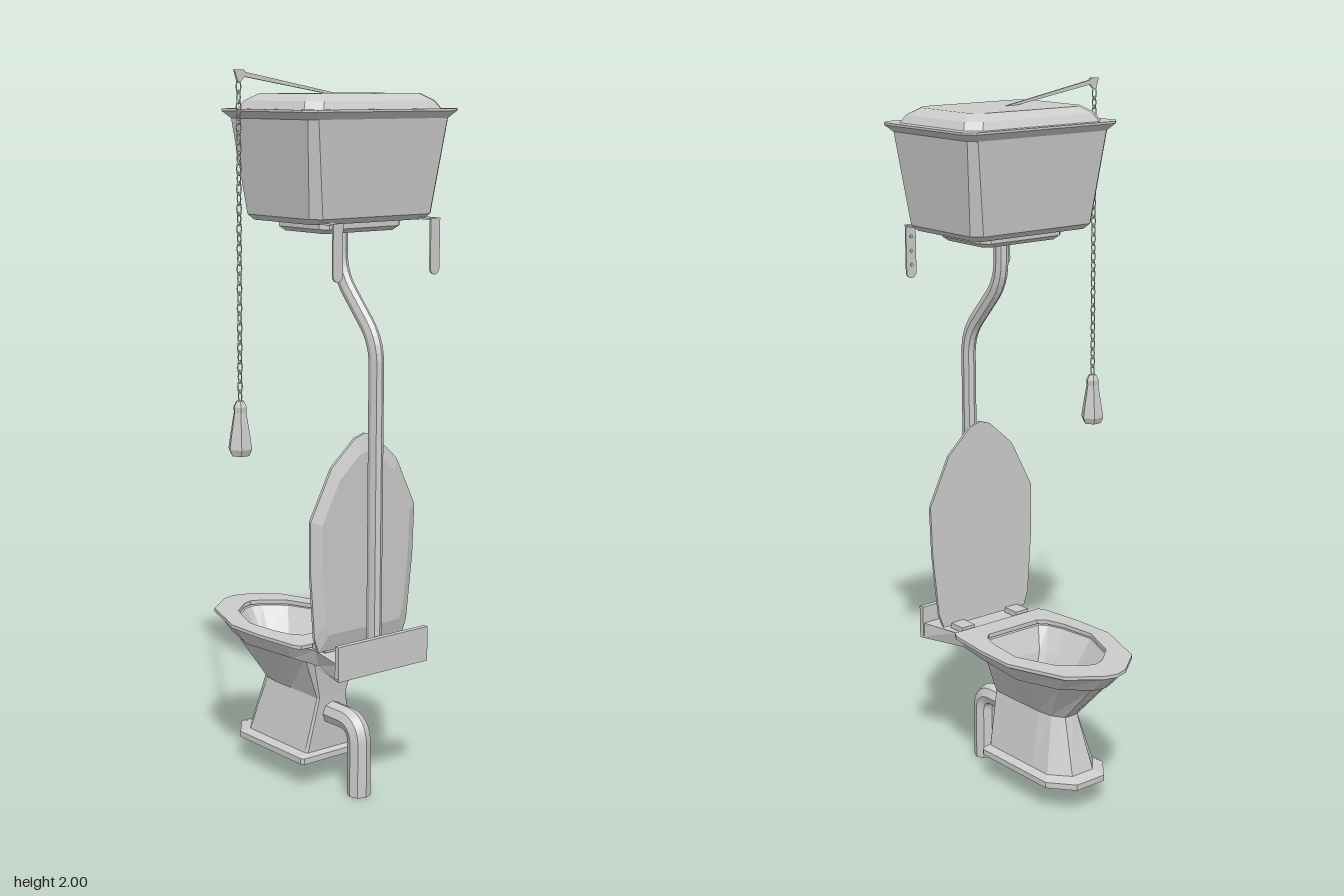
import * as THREE from 'three';

const CX = 0.05; // centre line of bowl, pipe and tank
const mat = new THREE.MeshStandardMaterial({ color: 0xcccccc, flatShading: true, side: THREE.DoubleSide });

// Closed ring at height y from a half outline [halfWidth, z], front tip first, mirrored in x
function mirrored(half, y, s = 1, dz = 0) {
  const right = half.map(([x, z]) => [x * s, y, z * s + dz]);
  const left = right.slice(1).reverse().map(([x, , z]) => [-x, y, z]);
  return [...right, ...left];
}

// Rectangle ring with chamfered corners
function rect(hx, hz, c, y) {
  const q = [[hx - c, -hz], [hx, -hz + c], [hx, hz - c], [hx - c, hz]];
  return [...q, ...q.map(([x, z]) => [-x, -z])].map(([x, z]) => [x, y, z]);
}

// Skin through rings; optional fan caps on the first and last ring
function loft(rings, capStart = true, capEnd = true) {
  const pos = [], n = rings[0].length;
  const tri = (...p) => p.forEach(v => pos.push(...v));
  for (let i = 0; i < rings.length - 1; i++) {
    for (let j = 0; j < n; j++) {
      const k = (j + 1) % n, a = rings[i], b = rings[i + 1];
      tri(a[j], b[j], a[k]);
      tri(a[k], b[j], b[k]);
    }
  }
  const cap = (r, up) => {
    const c = [0, 1, 2].map(d => r.reduce((s, p) => s + p[d], 0) / n);
    r.forEach((p, j) => {
      const q = r[(j + 1) % n];
      if (up) tri(c, q, p); else tri(c, p, q);
    });
  };
  if (capStart) cap(rings[0], false);
  if (capEnd) cap(rings[rings.length - 1], true);
  const g = new THREE.BufferGeometry();
  g.setAttribute('position', new THREE.Float32BufferAttribute(pos, 3));
  g.computeVertexNormals();
  return g;
}

// Pipe in the y/z plane through [y, z] points, with rounded corners
function pipe(points, radius, bend) {
  const p = points.map(([y, z]) => new THREE.Vector3(0, y, z));
  const path = new THREE.CurvePath();
  let from = p[0];
  for (let i = 1; i < p.length - 1; i++) {
    const a = p[i].clone().add(p[i - 1].clone().sub(p[i]).setLength(bend));
    const b = p[i].clone().add(p[i + 1].clone().sub(p[i]).setLength(bend));
    path.add(new THREE.LineCurve3(from, a));
    path.add(new THREE.QuadraticBezierCurve3(a, p[i], b));
    from = b;
  }
  path.add(new THREE.LineCurve3(from, p[p.length - 1]));
  return new THREE.TubeGeometry(path, 60, radius, 8, false);
}

export function createModel() {
  const model = new THREE.Group();
  const add = (name, geo, x = 0, y = 0, z = 0) => {
    const m = new THREE.Mesh(geo, mat);
    m.name = name;
    m.position.set(x, y, z);
    model.add(m);
    return m;
  };
  const box = (name, w, h, d, x, y, z) => add(name, new THREE.BoxGeometry(w, h, d), x, y, z);

  // Pedestal, rim with rear shelf, and hollow basin as one skin
  const foot = [[0, -0.24], [0.05, -0.24], [0.107, -0.17], [0.107, -0.1], [0.107, 0], [0.107, 0.115], [0.1, 0.125]];
  const ankle = [[0, -0.205], [0.038, -0.205], [0.085, -0.15], [0.085, -0.09], [0.085, 0], [0.085, 0.107], [0.08, 0.115]];
  const waist = [[0, -0.157], [0.022, -0.155], [0.045, -0.12], [0.052, -0.07], [0.052, 0], [0.052, 0.12], [0.047, 0.126]];
  const neck = [[0, -0.285], [0.03, -0.275], [0.095, -0.21], [0.128, -0.09], [0.115, 0.05], [0.095, 0.12], [0.08, 0.14]];
  const under = [[0, -0.293], [0.032, -0.283], [0.1, -0.22], [0.145, -0.09], [0.125, 0.1], [0.11, 0.2], [0.16, 0.345]];
  const rim = [[0, -0.338], [0.037, -0.327], [0.118, -0.262], [0.178, -0.1], [0.15, 0.1], [0.125, 0.2], [0.16, 0.345]];
  const mouth = [[0, -0.255], [0.03, -0.245], [0.09, -0.195], [0.137, -0.08], [0.125, 0.03], [0.11, 0.08], [0.09, 0.1]];
  const basin = [[0, -0.21], [0.022, -0.205], [0.065, -0.16], [0.1, -0.07], [0.09, 0.01], [0.08, 0.05], [0.07, 0.07]];
  const sump = [[0, -0.09], [0.008, -0.085], [0.02, -0.07], [0.03, -0.04], [0.03, 0], [0.025, 0.03], [0.02, 0.04]];
  add('bowl', loft([
    mirrored(foot, 0.075), mirrored(foot, 0.092), mirrored(ankle, 0.102), mirrored(waist, 0.26),
    mirrored(neck, 0.385), mirrored(under, 0.387), mirrored(rim, 0.435),
    mirrored(mouth, 0.435), mirrored(basin, 0.37), mirrored(sump, 0.25),
  ]), CX);
  box('shelfUpstand', 0.32, 0.09, 0.016, CX, 0.44, 0.337);

  // Seat ring
  const seatOuter = [[0, -0.348], [0.04, -0.337], [0.125, -0.27], [0.186, -0.1], [0.183, 0.02], [0.167, 0.16], [0.155, 0.18]];
  const seatInner = [[0, -0.26], [0.03, -0.25], [0.09, -0.2], [0.138, -0.08], [0.127, 0.03], [0.11, 0.085], [0.09, 0.105]];
  add('seat', loft([
    mirrored(seatOuter, 0.438), mirrored(seatOuter, 0.448), mirrored(seatInner, 0.45),
    mirrored(seatInner, 0.438), mirrored(seatOuter, 0.438),
  ], false, false), CX);

  // Raised lid, modelled flat and turned upright
  const lidHalf = [[0, -0.598], [0.035, -0.587], [0.115, -0.515], [0.185, -0.375], [0.182, -0.23], [0.165, -0.045], [0.15, -0.005]];
  const lid = add('lid', loft([
    mirrored(lidHalf, 0), mirrored(lidHalf, 0.008), mirrored(lidHalf, 0.022, 0.84, -0.05),
  ]), CX, 0.44, 0.24);
  lid.rotation.x = Math.PI / 2 + 0.02;
  for (const s of [-1, 1]) box('hinge', 0.045, 0.016, 0.055, CX + s * 0.1, 0.445, 0.215);

  // Flush pipe and waste pipe
  const flush = add('flushPipe', pipe([[1.6, 0.15], [1.46, 0.15], [1.29, 0.303], [0.42, 0.303]], 0.024, 0.06), CX);
  flush.scale.x = 0.75;
  add('wastePipe', pipe([[0, 0.243], [0.21, 0.243], [0.21, 0.1]], 0.033, 0.06), CX);
  const end = add('wastePipeEnd', new THREE.CircleGeometry(0.033, 8), CX, 0.001, 0.243);
  end.rotation.x = Math.PI / 2;

  // High tank with flared rim, cover and outlet block
  const TZ = 0.146;
  add('tank', loft([
    rect(0.195, 0.142, 0.02, 1.607), rect(0.21, 0.157, 0.025, 1.622), rect(0.24, 0.183, 0.02, 1.875),
    rect(0.265, 0.2, 0.028, 1.894), rect(0.265, 0.2, 0.028, 1.9),
  ]), CX, 0, TZ);
  add('tankCover', loft([
    rect(0.235, 0.177, 0.035, 1.9), rect(0.222, 0.164, 0.035, 1.921), rect(0.19, 0.135, 0.03, 1.94),
  ]), CX, 0, TZ);
  add('outletBlock', loft([
    rect(0.125, 0.09, 0.015, 1.578), rect(0.14, 0.105, 0.02, 1.59), rect(0.14, 0.105, 0.02, 1.61),
  ]), CX, 0, TZ);

  // Wall brackets with screws
  for (const s of [-1, 1]) {
    const x = CX + s * 0.168;
    box('bracketPlate', 0.033, 0.135, 0.005, x, 1.545, 0.342);
    add('bracketTip', new THREE.CylinderGeometry(0.0165, 0.0165, 0.005, 10), x, 1.479, 0.342).rotation.x = Math.PI / 2;
    box('bracketArm', 0.033, 0.005, 0.19, x, 1.611, 0.25);
    for (const y of [1.5, 1.54, 1.58]) {
      add('screw', new THREE.CylinderGeometry(0.005, 0.005, 0.004, 6), x, y, 0.338).rotation.x = Math.PI / 2;
    }
  }

  // Flat pull lever with a widened end
  const HX = -0.285;
  const shape = new THREE.Shape([
    [-0.3, 2.0], [-0.27, 2.0], [-0.265, 1.994], [0.045, 1.938], [0.02, 1.936], [-0.268, 1.982], [-0.28, 1.97], [-0.29, 1.97],
  ].map(p => new THREE.Vector2(...p)));
  add('lever', new THREE.ExtrudeGeometry(shape, { depth: 0.006, bevelEnabled: false }), 0, 0, TZ - 0.003);

  // Chain of alternating links
  const links = 32, top = 1.97, bottom = 1.145, pitch = (top - bottom) / links;
  const linkGeo = new THREE.TorusGeometry(0.0075, 0.002, 4, 8).scale(1, 2.1, 1);
  for (let i = 0; i < links; i++) {
    const link = add('chainLink', linkGeo, HX, top - (i + 0.5) * pitch, TZ - 0.001);
    link.rotation.y = (i % 2) * Math.PI / 2;
  }

  // Six-sided pull handle
  const profile = [[0, 1], [0.026, 1], [0.034, 1.018], [0.03, 1.045], [0.018, 1.115], [0.019, 1.13], [0.011, 1.145], [0, 1.147]];
  add('pullHandle', new THREE.LatheGeometry(profile.map(p => new THREE.Vector2(...p)), 6, Math.PI / 2), HX, 0, TZ - 0.001);

  return model;
}
